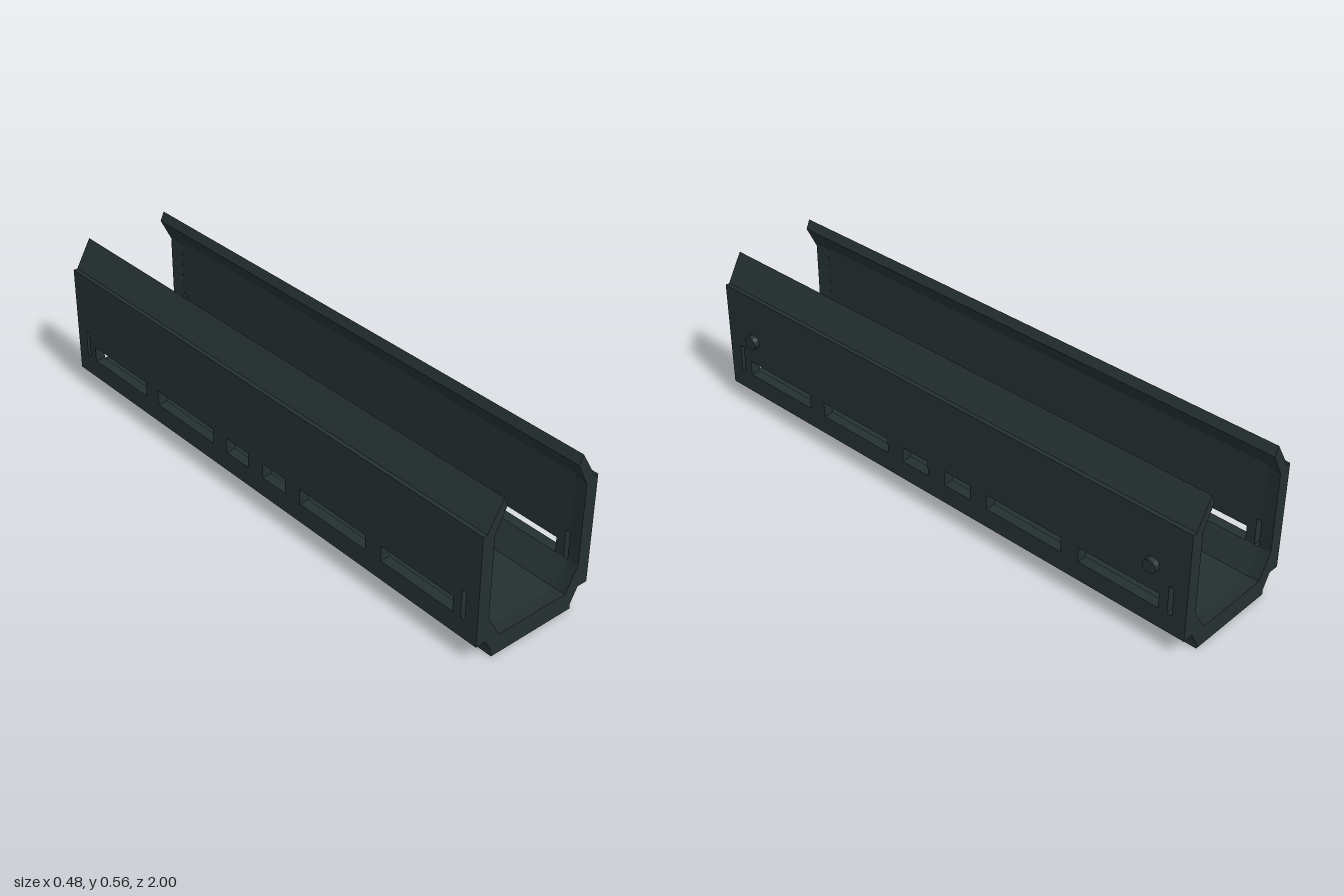
import * as THREE from 'three';

const body = new THREE.MeshStandardMaterial({ color: 0x243030 });
body.name = 'darkSlate';

const CENTRE = -0.011; // the channel sits slightly off centre because of the knobs

// Joins matching outlines [x, y] placed at rising z stations, with closed ends
function loft(sections) {
  const outline = sections[0].points.map(p => new THREE.Vector2(...p));
  const ends = sections.map(s => s.points);
  const pos = [];
  const n = outline.length;
  const tri = (...vs) => vs.forEach(v => pos.push(...v));
  for (let s = 0; s < sections.length - 1; s++) {
    const z0 = sections[s].z, z1 = sections[s + 1].z;
    for (let i = 0; i < n; i++) {
      const j = (i + 1) % n;
      const a = [...ends[s][i], z0], b = [...ends[s][j], z0];
      const c = [...ends[s + 1][j], z1], d = [...ends[s + 1][i], z1];
      tri(a, b, c);
      tri(a, c, d);
    }
  }
  const last = sections.length - 1;
  for (const k of [0, last]) {
    const pts = ends[k].map(p => new THREE.Vector2(...p));
    for (const [a, b, c] of THREE.ShapeUtils.triangulateShape(pts, [])) {
      const v = [a, b, c].map(i => [...ends[k][i], sections[k].z]);
      tri(...(k === 0 ? v.reverse() : v));
    }
  }
  const g = new THREE.BufferGeometry();
  g.setAttribute('position', new THREE.Float32BufferAttribute(pos, 3));
  g.computeVertexNormals();
  return g;
}

// Mirrors an outline in x and keeps it counter-clockwise
const mirror = pts => pts.map(([x, y]) => [-x, y]).reverse();
const sided = (pts, side) => (side > 0 ? pts : mirror(pts));

// End outline on a short ramp into the recessed middle outline
const ramped = (end, mid) => loft([
  { z: -1, points: end }, { z: -0.95, points: mid },
  { z: 0.95, points: mid }, { z: 1, points: end },
]);

// Side plate with its row of slots
function wallGeometry() {
  const rect = (path, u0, u1, y0, y1) => {
    path.moveTo(u0, y0);
    path.lineTo(u1, y0);
    path.lineTo(u1, y1);
    path.lineTo(u0, y1);
    path.closePath();
    return path;
  };
  const shape = rect(new THREE.Shape(), -1, 1, 0.07, 0.463);
  const slots = [[0.037, 0.15, 0.195], [0.22, 0.525, 0.195], [0.595, 0.9, 0.195], [0.933, 0.95, 0.24]];
  for (const [a, b, top] of slots) {
    shape.holes.push(rect(new THREE.Path(), a, b, 0.14, top));
    shape.holes.push(rect(new THREE.Path(), -b, -a, 0.14, top));
  }
  const g = new THREE.ExtrudeGeometry(shape, { depth: 0.036, bevelEnabled: false });
  return g.rotateY(Math.PI / 2);
}

export function createModel() {
  const model = new THREE.Group();
  model.name = 'slottedChannel';
  const add = (name, geometry, x = 0, y = 0, z = 0) => {
    const mesh = new THREE.Mesh(geometry, body);
    mesh.name = name;
    mesh.position.set(x + CENTRE, y, z);
    model.add(mesh);
  };

  // Floor with its sloped corners
  const outer = [[0.166, 0], [0.166, 0.018], [0.194, 0.07], [0.196, 0.07]];
  const endHalf = [...outer, [0.196, 0.153], [0.186, 0.153], [0.139, 0.068]];
  const midHalf = [...outer, [0.196, 0.14], [0.196, 0.14], [0.147, 0.058]];
  add('floor', ramped([...endHalf, ...mirror(endHalf)], [...midHalf, ...mirror(midHalf)]));

  const wall = wallGeometry();
  for (const side of [1, -1]) {
    const label = side > 0 ? 'left' : 'right';

    // Slotted wall
    add(label + 'Wall', wall, side > 0 ? 0.196 : -0.232);

    // Inward-leaning lip
    const tip = [[0.217, 0.463], [0.159, 0.562], [0.144, 0.53]];
    add(label + 'Lip', ramped(
      sided([...tip, [0.186, 0.447], [0.196, 0.447]], side),
      sided([...tip, [0.196, 0.45], [0.196, 0.45]], side)));

    // Thickened rims at both ends of the wall
    const rimEnd = sided([[0.196, 0.153], [0.196, 0.447], [0.186, 0.447], [0.186, 0.153]], side);
    const rimMid = sided([[0.196, 0.14], [0.196, 0.45], [0.1955, 0.45], [0.1955, 0.14]], side);
    add(label + 'FrontRim', loft([{ z: 0.95, points: rimMid }, { z: 1, points: rimEnd }]));
    add(label + 'BackRim', loft([{ z: -1, points: rimEnd }, { z: -0.95, points: rimMid }]));
  }

  // Knobs on the left wall
  const knob = new THREE.CylinderGeometry(0.025, 0.025, 0.022, 12).toNonIndexed();
  knob.computeVertexNormals();
  knob.rotateZ(-Math.PI / 2);
  for (const z of [0.87, -0.87]) add(z > 0 ? 'frontKnob' : 'backKnob', knob, 0.241, 0.29, z);

  return model;
}
